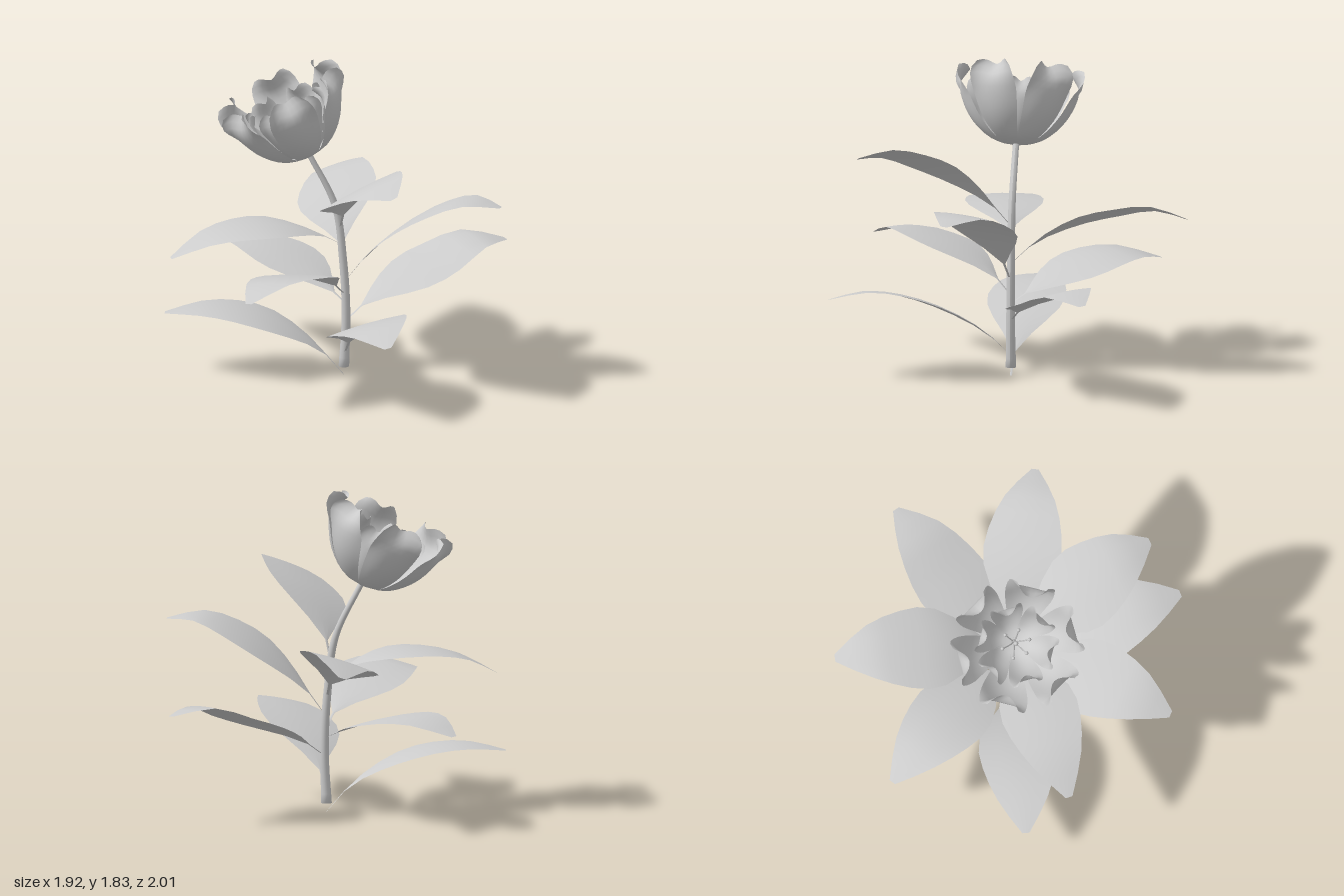
import * as THREE from 'three';

const material = new THREE.MeshStandardMaterial({ color: 0xcccccc, side: THREE.DoubleSide });

// Smooth sheet from a rule fn(u, v) -> Vector3, with u and v in 0..1
function sheet(name, nu, nv, fn) {
  const pos = [], index = [];
  for (let j = 0; j <= nv; j++)
    for (let i = 0; i <= nu; i++) pos.push(...fn(i / nu, j / nv).toArray());
  for (let j = 0; j < nv; j++)
    for (let i = 0; i < nu; i++) {
      const a = j * (nu + 1) + i, b = a + 1, c = a + nu + 1, d = c + 1;
      index.push(a, c, b, b, c, d);
    }
  const g = new THREE.BufferGeometry();
  g.setAttribute('position', new THREE.Float32BufferAttribute(pos, 3));
  g.setIndex(index);
  g.computeVertexNormals();
  const mesh = new THREE.Mesh(g, material);
  mesh.name = name;
  return mesh;
}

// Smooth curve through [t, value] pairs
function profile(pairs) {
  const last = pairs.length - 1;
  return (t) => {
    let k = 0;
    while (k < last - 1 && t > pairs[k + 1][0]) k++;
    const [p, q] = [pairs[k], pairs[k + 1]];
    const a = pairs[Math.max(k - 1, 0)], b = pairs[Math.min(k + 2, last)];
    const h = q[0] - p[0], s = (t - p[0]) / h;
    const m0 = (q[1] - a[1]) / (q[0] - a[0]) * h, m1 = (b[1] - p[1]) / (b[0] - p[0]) * h;
    const s2 = s * s, s3 = s2 * s;
    return (2 * s3 - 3 * s2 + 1) * p[1] + (s3 - 2 * s2 + s) * m0 + (3 * s2 - 2 * s3) * q[1] + (s3 - s2) * m1;
  };
}

const stemCurve = new THREE.CatmullRomCurve3([
  [0.05, 0.05], [0.062, 0.36], [0.045, 0.68], [0, 1.0], [-0.15, 1.31],
].map(([x, y]) => new THREE.Vector3(x, y, 0)));

const leafWidth = profile([[0, 0.006], [0.12, 0.014], [0.22, 0.1], [0.38, 0.2], [0.52, 0.221],
  [0.75, 0.165], [0.92, 0.075], [1, 0.02]]);
const stations = [0, 0.15, 0.38, 0.6, 0.8, 1];

// Leaf: tip x, tip z, midrib heights from stem to tip, sideways roll, sideways bow
const leaves = [
  [0.0, -1.0, [0.65, 0.79, 0.91, 0.965, 0.99, 0.93], -0.33, 0.025],
  [-0.64, -0.75, [0.42, 0.49, 0.57, 0.62, 0.62, 0.55], 0.05, 0],
  [0.95, -0.54, [0.32, 0.43, 0.53, 0.61, 0.68, 0.64], 0.1, 0],
  [0.94, 0.25, [0.55, 0.73, 0.92, 1.04, 1.1, 1.07], -0.05, 0],
  [0.35, 0.83, [0.86, 1.02, 1.18, 1.27, 1.32, 1.3], 0.4, -0.045],
  [0.32, 1.0, [0.12, 0.27, 0.41, 0.49, 0.515, 0.47], 0.22, 0],
  [-0.47, 0.85, [0.47, 0.59, 0.69, 0.74, 0.75, 0.68], 0.15, 0],
  [-0.92, 0.22, [0.77, 0.85, 0.905, 0.905, 0.86, 0.75], 0, 0],
  [-0.96, -0.03, [0.0, 0.17, 0.31, 0.375, 0.385, 0.35], 0, 0],
];

function makeLeaf([tx, tz, heights, roll, bow]) {
  const baseX = stemCurve.getPoint(THREE.MathUtils.clamp((heights[0] - 0.05) / 1.26, 0, 1)).x;
  const dir = new THREE.Vector2(tx - baseX, tz).normalize();
  const rise = profile(stations.map((t, i) => [t, heights[i]]));
  return sheet('leaf', 4, 10, (u, t) => {
    const s = u * 2 - 1, w = leafWidth(t) * s, arc = Math.sin(Math.PI * t);
    const side = w + bow * arc;
    return new THREE.Vector3(
      baseX + (tx - baseX) * t + dir.y * side,
      rise(t) + roll * w - 0.012 * s * s * arc,
      tz * t - dir.x * side);
  });
}

// Petal section: distance from the flower axis, height along it, half width
const petalR = profile([[0, 0.012], [0.2, 0.14], [0.42, 0.25], [0.62, 0.315], [0.82, 0.335], [1, 0.285]]);
const petalH = profile([[0, 0], [0.2, 0.03], [0.42, 0.12], [0.62, 0.23], [0.82, 0.335], [1, 0.425]]);
const petalW = profile([[0, 0.02], [0.25, 0.075], [0.5, 0.118], [0.75, 0.138], [0.92, 0.122], [1, 0.09]]);

function makePetal(name, angle, spread, height, width) {
  const petal = sheet(name, 8, 14, (u, t) => {
    const s = u * 2 - 1, flare = THREE.MathUtils.smoothstep(t, 0.65, 1);
    const r = petalR(t) * spread + s * s * (0.07 * flare - 0.045 * Math.sin(Math.PI * t)) * width;
    // Tip edge is wavy, with a shallow notch in the middle
    const h = petalH(t) * height - flare * 0.012 * Math.cos(s * Math.PI * 1.5);
    return new THREE.Vector3(r, h, petalW(t) * width * s);
  });
  petal.rotation.y = -angle;
  return petal;
}

function makeFlower() {
  const flower = new THREE.Group();
  flower.name = 'flower';
  const rings = [
    ['outerPetal', 20, 1, 1, 1],
    ['innerPetal', 50, 0.62, 0.82, 0.68],
  ];
  for (const [name, start, spread, height, width] of rings)
    for (let i = 0; i < 6; i++) {
      const angle = THREE.MathUtils.degToRad(start + i * 60);
      flower.add(makePetal(name, angle, spread, height, width));
    }

  // Stamens around a central pistil
  const addStalk = (name, angle, reach, top, thick, knob) => {
    const at = (r, y) => new THREE.Vector3(r * Math.cos(angle), y, r * Math.sin(angle));
    const curve = new THREE.QuadraticBezierCurve3(at(0.01, 0), at(reach * 0.3, top * 0.6), at(reach, top));
    const stalk = new THREE.Mesh(new THREE.TubeGeometry(curve, 6, thick, 5), material);
    const tip = new THREE.Mesh(new THREE.SphereGeometry(knob, 8, 6), material);
    tip.scale.y = 1.5;
    tip.position.copy(at(reach, top));
    stalk.name = name;
    tip.name = name + 'Tip';
    flower.add(stalk, tip);
  };
  for (let i = 0; i < 6; i++) addStalk('stamen', i * Math.PI / 3 + 0.3, 0.08, 0.19 + 0.02 * (i % 2), 0.004, 0.011);
  addStalk('pistil', 0, 0.005, 0.22, 0.008, 0.014);

  flower.position.set(-0.155, 1.29, 0);
  flower.rotation.z = 0.41;
  return flower;
}

export function createModel() {
  const model = new THREE.Group();
  model.name = 'floweringPlant';

  // Tapering stem with a closed foot
  const stemRadius = profile([[0, 0.03], [0.15, 0.026], [0.6, 0.022], [1, 0.018]]);
  model.add(sheet('stem', 10, 24, (u, v) => {
    const t = Math.max(0, (v * 24 - 1) / 23), r = v === 0 ? 0 : stemRadius(t), a = u * Math.PI * 2;
    return stemCurve.getPoint(t).add(new THREE.Vector3(r * Math.cos(a), 0, r * Math.sin(a)));
  }));

  const foliage = new THREE.Group();
  foliage.name = 'foliage';
  for (const leaf of leaves) foliage.add(makeLeaf(leaf));
  model.add(foliage, makeFlower());
  return model;
}
